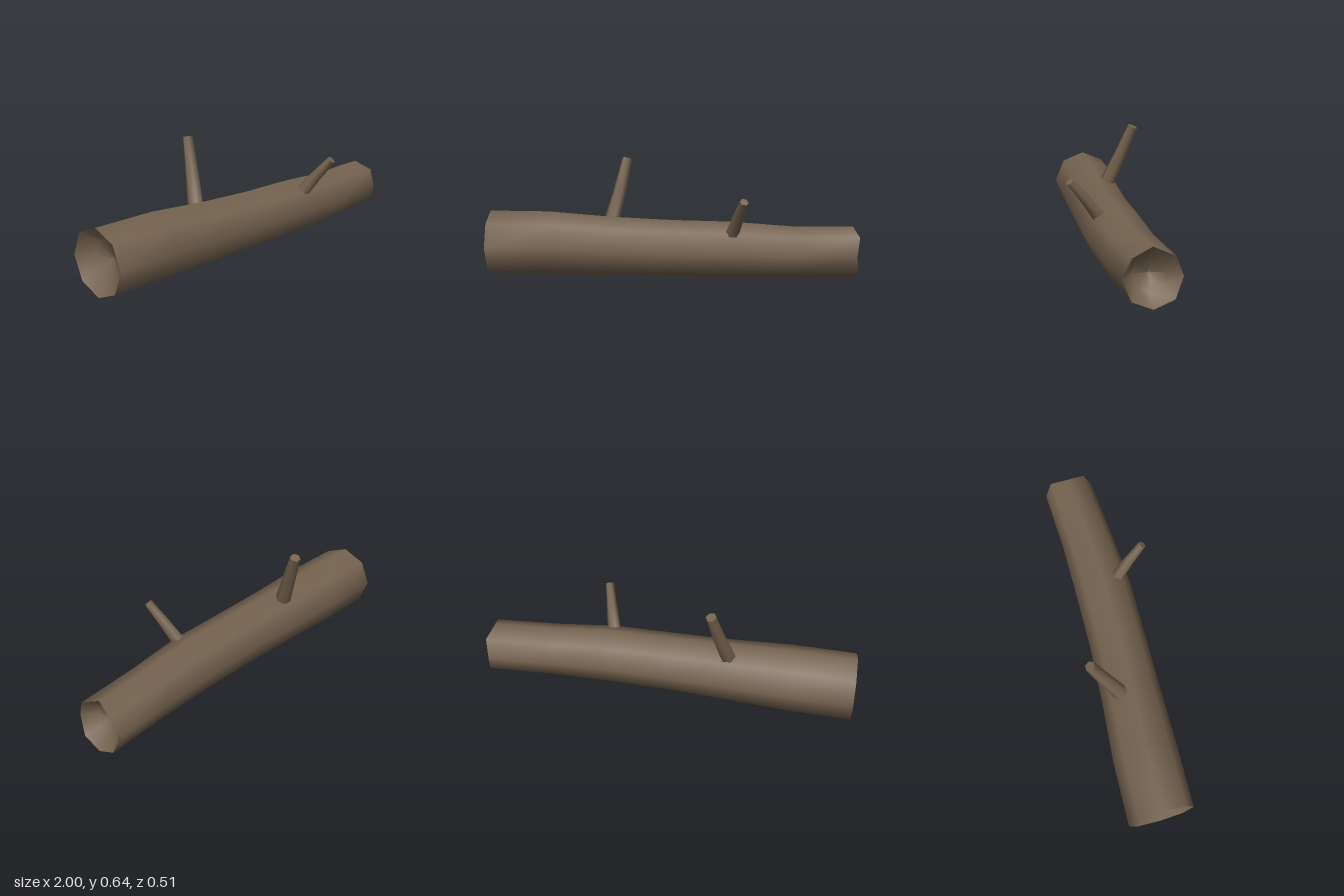
import * as THREE from 'three';

const V = (x, y, z) => new THREE.Vector3(x, y, z);

// Smooth skin through equal-sized closed rings of points.
function loft(rings) {
  const n = rings[0].length;
  const geo = new THREE.BufferGeometry().setFromPoints(rings.flat());
  const index = [];
  for (let i = 0; i < rings.length - 1; i++) {
    for (let j = 0; j < n; j++) {
      const a = i * n + j, b = i * n + (j + 1) % n;
      index.push(a, b, a + n, b, b + n, a + n);
    }
  }
  geo.setIndex(index);
  geo.computeVertexNormals();
  return geo;
}

// Rim, inner ring and centre of a dished end; depth runs along x.
function dish(rim, depth) {
  const centre = rim.reduce((s, p) => s.add(p), V(0, 0, 0)).divideScalar(rim.length);
  return [[1, 0], [0.6, 0.65], [0, 1]].map(([s, k]) =>
    rim.map(p => centre.clone().lerp(p, s).add(V(depth * k, 0, 0))));
}

export function createModel() {
  const model = new THREE.Group();
  model.name = 'fallenLog';
  const bark = new THREE.MeshStandardMaterial({ color: 0x756350 });
  bark.name = 'bark brown';

  const add = (name, rings, parent = model) => {
    const mesh = new THREE.Mesh(loft(rings), bark);
    mesh.name = name;
    parent.add(mesh);
  };

  // Trunk sections: x, bottom, top, back, front
  const sections = [
    [-1, 0.003, 0.355, -0.245, 0.105],
    [-0.67, 0, 0.355, -0.23, 0.12],
    [-0.33, 0.003, 0.332, -0.196, 0.13],
    [0, 0.007, 0.32, -0.172, 0.142],
    [0.33, 0.01, 0.315, -0.162, 0.152],
    [0.65, 0.012, 0.291, -0.156, 0.135],
    [1, 0.01, 0.29, -0.166, 0.113],
  ];
  const chips = [0.024, 0, 0.017, 0, 0, 0, 0.017, 0]; // uneven cut at one end
  const trunk = sections.map(([x, y0, y1, z0, z1], i) => chips.map((chip, j) => {
    const a = j * Math.PI / 4;
    return V(x - (i === sections.length - 1 ? chip : 0),
      (y0 + y1) / 2 + Math.cos(a) * (y1 - y0) / 2,
      (z0 + z1) / 2 + Math.sin(a) * (z1 - z0) / 2);
  }));
  add('trunk', trunk);

  // Hollowed ends
  add('leftHollow', dish(trunk[trunk.length - 1], -0.1));
  add('rightHollow', dish(trunk[0], 0.1).reverse());

  // Tapered branch stubs: centre points with radii
  function branch(name, points, radii) {
    const group = new THREE.Group();
    group.name = name;
    const rings = points.map((c, i) => {
      const d = points[Math.min(i + 1, points.length - 1)].clone()
        .sub(points[Math.max(i - 1, 0)]).normalize();
      const u = V(1, 0, 0).addScaledVector(d, -d.x).normalize();
      const v = d.clone().cross(u);
      return Array.from({ length: 6 }, (_, j) => {
        const a = j * Math.PI / 3;
        return c.clone().addScaledVector(u, Math.cos(a) * radii[i])
          .addScaledVector(v, Math.sin(a) * radii[i]);
      });
    });
    const tip = points[points.length - 1];
    add(name + 'Stem', rings, group);
    add(name + 'Tip', [rings[rings.length - 1], rings[0].map(() => tip.clone())], group);
    model.add(group);
  }
  branch('tallBranch',
    [V(-0.335, 0.3, -0.098), V(-0.295, 0.45, -0.16), V(-0.256, 0.628, -0.228)],
    [0.043, 0.036, 0.028]);
  branch('shortBranch',
    [V(0.327, 0.268, 0.085), V(0.352, 0.362, 0.155), V(0.38, 0.462, 0.238)],
    [0.037, 0.03, 0.023]);

  return model;
}
